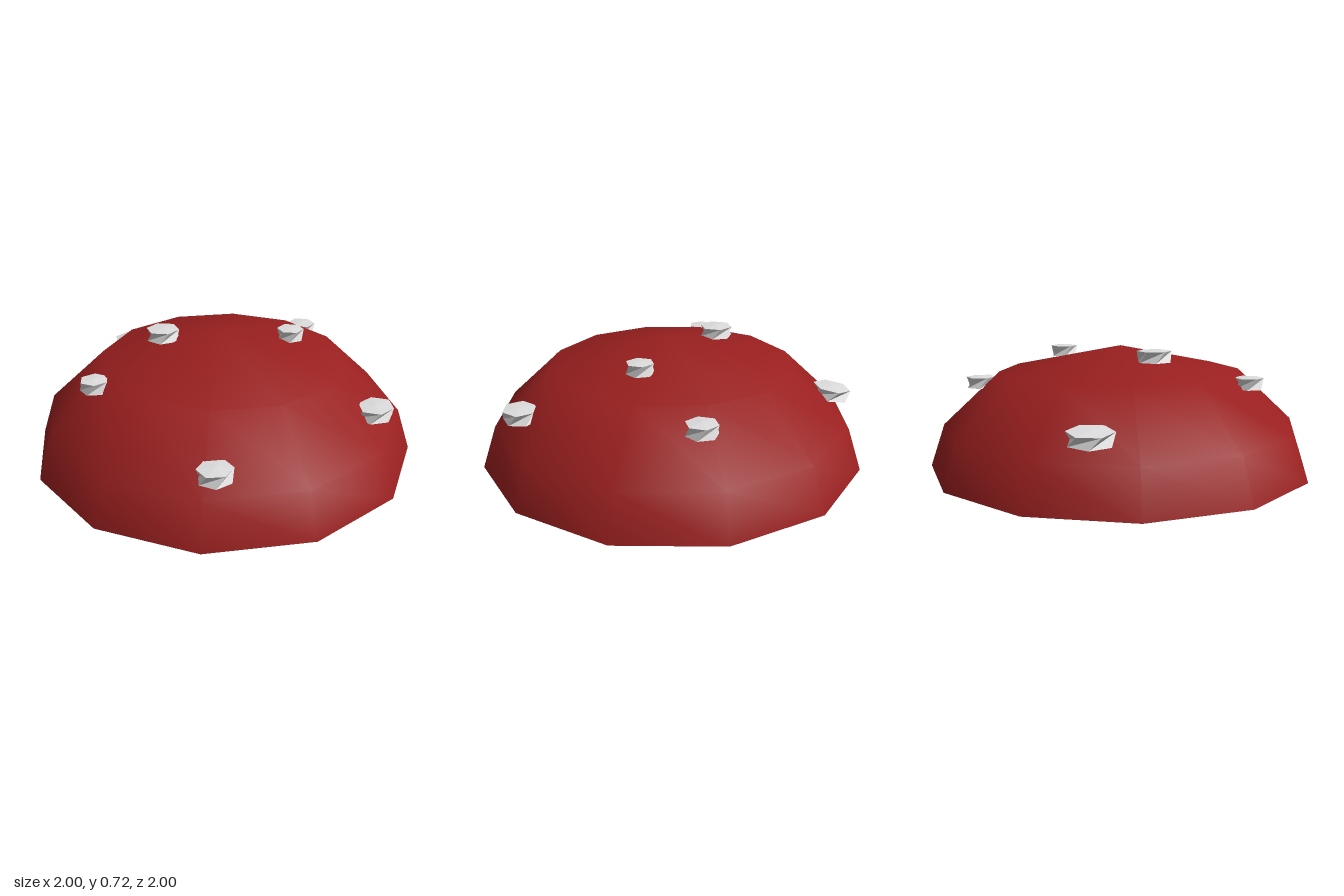
import * as THREE from 'three';

function material(name, color, extra = {}) {
  const m = new THREE.MeshStandardMaterial({ color, ...extra });
  m.name = name;
  return m;
}

function lathe(name, profile, mat) {
  const points = profile.map(([r, y]) => new THREE.Vector2(r, y));
  const mesh = new THREE.Mesh(new THREE.LatheGeometry(points, 12), mat);
  mesh.name = name;
  return mesh;
}

// Hollow dome, with normals pointing straight up at the apex so it shades smoothly
function capMesh(mat) {
  const mesh = lathe('cap', [[1, 0.09], [0.925, 0.31], [0.63, 0.585], [0, 0.715]], mat);
  const { position, normal } = mesh.geometry.attributes;
  for (let i = 0; i < position.count; i++) {
    if (position.getY(i) > 0.7) normal.setXYZ(i, 0, 1, 0);
  }
  return mesh;
}

// Flat six-sided pebble: lower ring twisted half a side, top very slightly domed
function pebbleGeometry() {
  const geo = new THREE.CylinderGeometry(1, 1, 1, 6, 1);
  const pos = geo.attributes.position;
  const v = new THREE.Vector3();
  const up = new THREE.Vector3(0, 1, 0);
  for (let i = 0; i < pos.count; i++) {
    v.fromBufferAttribute(pos, i);
    const radius = Math.hypot(v.x, v.z);
    if (v.y < 0) v.applyAxisAngle(up, -Math.PI / 6);
    else if (radius > 0.5) v.y -= 0.1;
    pos.setXYZ(i, v.x, v.y, v.z);
  }
  geo.computeVertexNormals();
  return geo;
}

export function createModel() {
  const red = material('cap red', 0x9a1f1f, { side: THREE.DoubleSide });
  const cream = material('gill cream', 0xe2d6bc, { side: THREE.DoubleSide });
  const white = material('spot white', 0xdddddd, { flatShading: true });

  const model = new THREE.Group();
  model.name = 'mushroomCap';

  // Dome and the open ring beneath it
  model.add(capMesh(red));
  model.add(lathe('gills', [[0.56, 0], [0.99, 0.089]], cream));

  // Spots: x, y, z, half width, half depth, turn, outward tilt
  const spots = [
    [0.20, 0.415, -0.82, 0.108, 0.095, 0.4, 0.12],
    [-0.60, 0.56, -0.335, 0.072, 0.072, 0.2, 0],
    [-0.14, 0.69, -0.28, 0.086, 0.086, 0.5, 0],
    [0.73, 0.527, 0.05, 0.076, 0.078, 0.5, 0],
    [0.29, 0.67, 0.23, 0.07, 0.07, 0.5, 0],
    [-0.71, 0.405, 0.465, 0.085, 0.082, 0.7, 0],
    [0.16, 0.438, 0.80, 0.102, 0.085, 0.25, 0],
  ];
  const pebble = pebbleGeometry();
  const spotGroup = new THREE.Group();
  spotGroup.name = 'spots';
  for (const [x, y, z, w, d, turn, tilt] of spots) {
    const mesh = new THREE.Mesh(pebble, white);
    mesh.name = 'spot';
    mesh.scale.set(1, 0.06, 1);
    mesh.rotation.y = turn;
    const holder = new THREE.Group();
    holder.name = 'spotHolder';
    holder.position.set(x, y, z);
    holder.scale.set(w, 1, d);
    holder.rotation.x = tilt * Math.sign(z);
    holder.add(mesh);
    spotGroup.add(holder);
  }
  model.add(spotGroup);
  return model;
}
